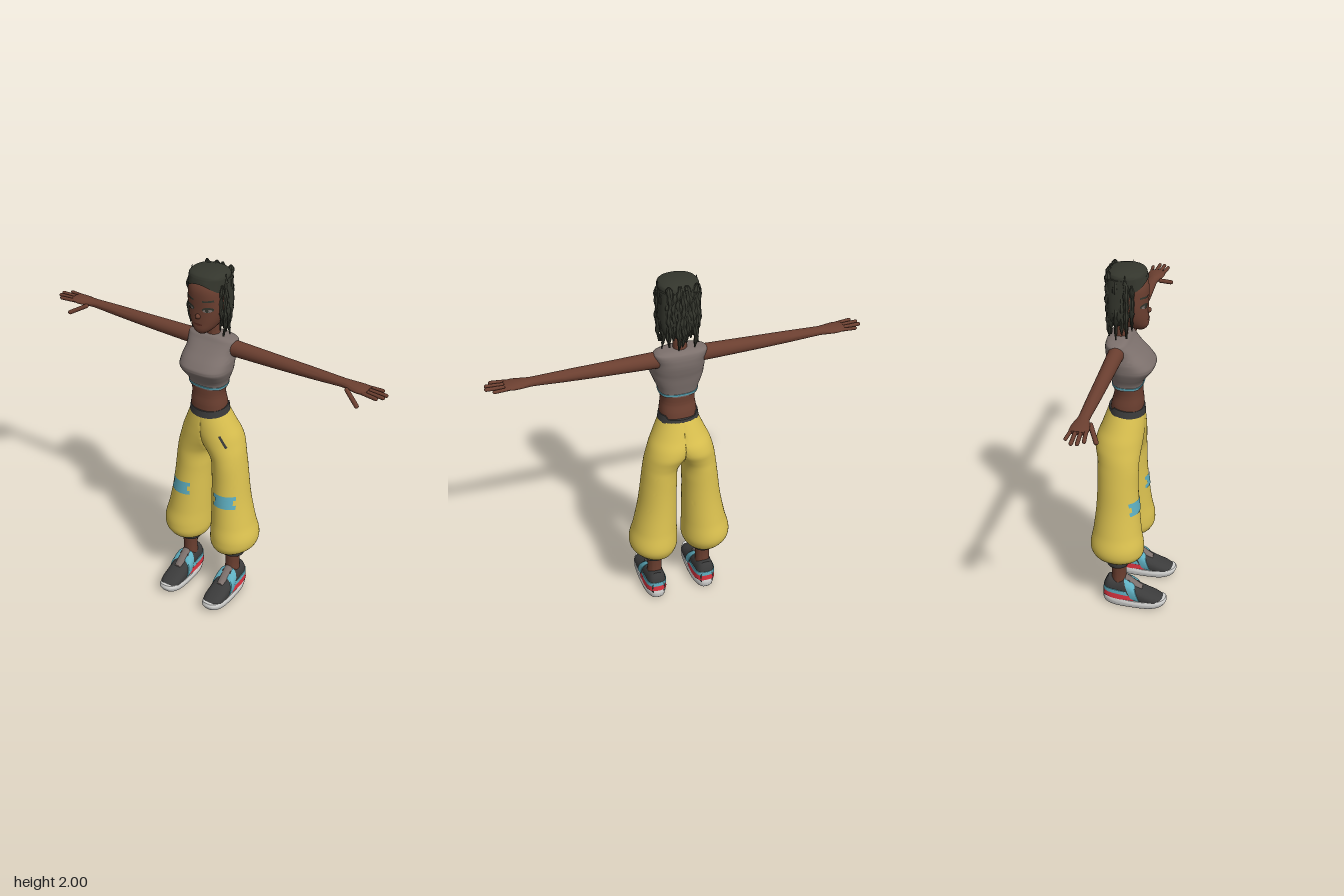
import * as THREE from 'three';
import { toCreasedNormals } from 'three/addons/utils/BufferGeometryUtils.js';

const mat = (name, color, side = THREE.FrontSide) =>
  Object.assign(new THREE.MeshStandardMaterial({ color, side }), { name });

// Smooth interpolation of section bounds [t, x0, x1, z0, z1] at height t
function boundsAt(keys, t) {
  let i = 0;
  while (i < keys.length - 2 && t > keys[i + 1][0]) i++;
  const a = keys[i], b = keys[i + 1], h = b[0] - a[0], u = (t - a[0]) / h;
  const slope = (k, c) => {
    const d = (m) => (keys[m + 1][c] - keys[m][c]) / (keys[m + 1][0] - keys[m][0]);
    if (k === 0) return d(0);
    if (k === keys.length - 1) return d(k - 1);
    return d(k - 1) * d(k) <= 0 ? 0 : (d(k - 1) + d(k)) / 2;
  };
  return [1, 2, 3, 4].map((c) => a[c] * (1 + 2 * u) * (1 - u) ** 2 + b[c] * u * u * (3 - 2 * u)
    + h * (slope(i, c) * u * (1 - u) ** 2 + slope(i + 1, c) * u * u * (u - 1)));
}

// Closed superellipse loft along y; `rule` may adjust each point
function loft(keys, { n = 2, seg = 32, rows = 24, rule, axis = 'y', crease = 0.9 } = {}) {
  const pos = [], idx = [], t0 = keys[0][0], t1 = keys[keys.length - 1][0];
  const pw = (v) => Math.sign(v) * Math.abs(v) ** (2 / n);
  const put = (x, y, z) => {
    const p = new THREE.Vector3(x, y, z);
    if (rule) rule(p);
    pos.push(p.x, p.y, p.z);
  };
  for (let i = 0; i <= rows; i++) {
    const t = t0 + (t1 - t0) * i / rows, [x0, x1, z0, z1] = boundsAt(keys, t);
    for (let j = 0; j < seg; j++) {
      const q = j / seg * Math.PI * 2;
      put((x0 + x1) / 2 + (x1 - x0) / 2 * pw(Math.cos(q)), t, (z0 + z1) / 2 + (z1 - z0) / 2 * pw(Math.sin(q)));
    }
  }
  for (const k of [keys[0], keys[keys.length - 1]]) put((k[1] + k[2]) / 2, k[0], (k[3] + k[4]) / 2);
  const lo = (rows + 1) * seg;
  for (let j = 0; j < seg; j++) {
    const k = (j + 1) % seg;
    for (let i = 0; i < rows; i++) {
      const a = i * seg + j, b = i * seg + k;
      idx.push(a, a + seg, b, b, a + seg, b + seg);
    }
    idx.push(lo, j, k, lo + 1, rows * seg + k, rows * seg + j);
  }
  const g = new THREE.BufferGeometry();
  g.setAttribute('position', new THREE.Float32BufferAttribute(pos, 3));
  g.setIndex(idx);
  if (axis === 'x') g.rotateZ(-Math.PI / 2);
  if (axis === 'z') g.rotateX(Math.PI / 2);
  return toCreasedNormals(g, crease);
}
// Lofts running along x ([x, y0, y1, z0, z1]) and along z ([z, x0, x1, y0, y1])
const loftX = (keys, o) => loft(keys.map(([x, y0, y1, a, b]) => [x, -y1, -y0, a, b]), { ...o, axis: 'x' });
const loftZ = (keys, o) => loft(keys.map(([z, a, b, y0, y1]) => [z, a, b, -y1, -y0]), { ...o, axis: 'z' });

// Lays a flat geometry onto the front of a loft
function decal(g, keys, n, off = 0.003) {
  const p = g.attributes.position;
  for (let i = 0; i < p.count; i++) {
    const x = p.getX(i), [x0, x1, z0, z1] = boundsAt(keys, p.getY(i));
    const u = Math.min(0.98, Math.abs(x - (x0 + x1) / 2) / ((x1 - x0) / 2));
    p.setZ(i, (z0 + z1) / 2 + (z1 - z0) / 2 * (1 - u ** n) ** (1 / n) + off);
  }
  g.computeVertexNormals();
  return g;
}
const oval = (x, y, w, h, tilt = 0) => new THREE.CircleGeometry(1, 20).scale(w, h, 1).rotateZ(tilt).translate(x, y, 0);
const strip = (x, y, w, h, tilt = 0) => new THREE.PlaneGeometry(w, h, 8, 4).rotateZ(tilt).translate(x, y, 0);

function mirrored(src) {
  const g = src.clone().scale(-1, 1, 1), m = g.index ? g.index.count : g.attributes.position.count;
  const ix = Array.from({ length: m }, (_, i) => (g.index ? g.index.getX(i) : i));
  for (let i = 0; i < m; i += 3) [ix[i + 1], ix[i + 2]] = [ix[i + 2], ix[i + 1]];
  g.setIndex(ix);
  return g;
}
// Rounded finger between two points
function finger(a, b, r) {
  const A = new THREE.Vector3(...a), d = new THREE.Vector3(...b).sub(A), l = d.length();
  return new THREE.CapsuleGeometry(r, l - r, 4, 10)
    .applyQuaternion(new THREE.Quaternion().setFromUnitVectors(new THREE.Vector3(0, 1, 0), d.normalize()))
    .translate(...A.addScaledVector(d, l / 2).toArray());
}

export function createModel() {
  const model = new THREE.Group();
  const skin = mat('skin', 0x6b3f30), hair = mat('hair', 0x34362d), grey = mat('top grey', 0x7c706c);
  const yellow = mat('trouser yellow', 0xdcc250), dark = mat('charcoal', 0x3b3b3b), cyan = mat('cyan', 0x5fb0c2);
  const red = mat('red', 0xd8323e), white = mat('sole white', 0xd6d6d4), tread = mat('tread grey', 0x77777a);
  const lip = mat('lip', 0x55291f);
  const add = (name, g, m) => {
    const mesh = new THREE.Mesh(g, m);
    mesh.name = name;
    model.add(mesh);
  };
  const pair = (name, g, m) => {
    add(name + 'Left', g, m);
    add(name + 'Right', mirrored(g), m);
  };

  // Torso
  add('midriff', loft([[1.18, -0.1, 0.1, -0.13, 0.045], [1.24, -0.097, 0.097, -0.122, 0.045],
    [1.3, -0.09, 0.09, -0.108, 0.04], [1.37, -0.098, 0.098, -0.11, 0.04]], { n: 2.3 }), skin);
  add('cropTop', loft([[1.34, -0.1, 0.1, -0.112, 0.042], [1.38, -0.108, 0.108, -0.118, 0.052],
    [1.42, -0.125, 0.125, -0.125, 0.08], [1.465, -0.138, 0.138, -0.132, 0.107], [1.5, -0.138, 0.138, -0.14, 0.085],
    [1.55, -0.132, 0.132, -0.147, 0.035], [1.6, -0.14, 0.14, -0.143, -0.012], [1.615, -0.125, 0.125, -0.135, -0.022],
    [1.625, -0.06, 0.06, -0.115, -0.032]], { n: 2.6, seg: 40, rows: 40 }), grey);
  add('topHem', loft([[1.349, -0.104, 0.104, -0.116, 0.047], [1.36, -0.106, 0.106, -0.118, 0.05]],
    { n: 2.6, seg: 40, rows: 1 }), cyan);
  add('neck', loft([[1.58, -0.05, 0.05, -0.12, -0.025], [1.63, -0.036, 0.036, -0.11, -0.038],
    [1.74, -0.036, 0.036, -0.1, -0.02]]), skin);

  // Trousers: each half is cut flat at the middle above the crotch
  const leg = [[0.295, 0.075, 0.21, -0.13, 0], [0.31, 0.05, 0.228, -0.165, 0.04], [0.35, 0.025, 0.272, -0.2, 0.075],
    [0.4, 0.018, 0.285, -0.215, 0.08], [0.5, 0.02, 0.262, -0.2, 0.065], [0.65, 0.02, 0.232, -0.185, 0.05],
    [0.8, 0.018, 0.213, -0.18, 0.042], [0.9, 0.01, 0.2, -0.18, 0.042], [0.95, -0.02, 0.192, -0.188, 0.045],
    [1, -0.06, 0.18, -0.2, 0.05], [1.05, -0.09, 0.165, -0.194, 0.054], [1.1, -0.1, 0.143, -0.175, 0.055],
    [1.2, -0.1, 0.1, -0.14, 0.05]];
  pair('trouserLeg', loft(leg, { seg: 56, rows: 64, rule: (p) => { p.x = Math.max(0, p.x); } }), yellow);
  add('waistband', loft([[1.183, -0.11, 0.11, -0.145, 0.056], [1.222, -0.104, 0.104, -0.138, 0.052]],
    { rows: 2, rule: (p) => { p.y -= 0.12 * (p.z + 0.04) + (p.z < -0.1 ? 0.02 : 0); } }), dark);
  for (const [x, y, w, h] of [[0.14, 0.694, 0.125, 0.024], [0.143, 0.667, 0.1, 0.032], [0.142, 0.64, 0.128, 0.024]])
    pair('kneePatch', decal(strip(x, y, w, h), leg, 2, 0.004), cyan);
  add('pocketSlit', decal(strip(0.125, 1.04, 0.08, 0.01, -1.1), leg, 2, 0.004), dark);
  pair('cuff', loft([[0.265, 0.084, 0.206, -0.124, -0.006], [0.28, 0.078, 0.212, -0.13, 0],
    [0.305, 0.078, 0.212, -0.13, 0]], { rows: 4 }), dark);
  pair('ankle', loft([[0.1, 0.1, 0.188, -0.105, -0.015], [0.2, 0.103, 0.183, -0.1, -0.02],
    [0.28, 0.1, 0.186, -0.105, -0.015]]), skin);

  // Arms and hands
  pair('arm', loftX([[0.1, 1.522, 1.61, -0.115, -0.03], [0.4, 1.53, 1.602, -0.108, -0.036],
    [0.6, 1.538, 1.597, -0.104, -0.04], [0.76, 1.547, 1.591, -0.1, -0.044], [0.81, 1.549, 1.588, -0.11, -0.03],
    [0.86, 1.552, 1.585, -0.115, -0.02], [0.895, 1.56, 1.58, -0.112, -0.024]], { seg: 24, rows: 40 }), skin);
  for (const [z0, z1, x, r] of [[-0.102, -0.108, 0.955, 0.009], [-0.08, -0.074, 0.989, 0.01],
    [-0.056, -0.046, 0.985, 0.01], [-0.033, -0.02, 0.96, 0.01]])
    pair('finger', finger([0.87, 1.569, z0], [x, 1.569, z1], r), skin);
  pair('thumb', finger([0.79, 1.562, -0.035], [0.878, 1.516, 0.016], 0.012), skin);

  // Shoes
  const toeLift = (p) => { p.y += p.z > 0.1 ? (p.z - 0.1) ** 2 * 1.4 : p.z < 0 ? -p.z * p.y * 2.5 : 0; };
  pair('tread', loft([[0, 0.088, 0.202, -0.138, 0.19], [0.008, 0.083, 0.207, -0.145, 0.2]],
    { n: 2.7, rows: 1, rule: toeLift }), tread);
  pair('sole', loft([[0.006, 0.083, 0.207, -0.145, 0.2], [0.03, 0.077, 0.213, -0.152, 0.213],
    [0.048, 0.081, 0.209, -0.148, 0.208]], { n: 2.7, rows: 6, rule: toeLift }), white);
  const upper = [[-0.143, 0.11, 0.18, 0.02, 0.125], [-0.12, 0.096, 0.194, 0.01, 0.172], [-0.06, 0.09, 0.2, 0.01, 0.168],
    [-0.01, 0.088, 0.202, 0.01, 0.168], [0.04, 0.086, 0.204, 0.01, 0.13], [0.1, 0.085, 0.205, 0.01, 0.1],
    [0.16, 0.092, 0.198, 0.015, 0.077], [0.2, 0.115, 0.175, 0.025, 0.058]];
  pair('shoeUpper', loftZ(upper, { n: 2.5, rows: 30 }), dark);
  pair('redStripe', loft([[0.045, 0.082, 0.208, -0.15, 0.085], [0.078, 0.085, 0.205, -0.147, 0.06]],
    { n: 3, rows: 2, rule: (p) => { p.y -= p.z * 0.1; } }), red);
  pair('cyanStripe', loft([[0.078, 0.085, 0.205, -0.148, 0.055], [0.102, 0.086, 0.204, -0.146, 0.035]],
    { n: 3, rows: 2, rule: (p) => { p.y -= p.z * 0.1; } }), cyan);
  const strap = [-0.015, 0, 0.015, 0.03].map((z) => {
    const [a, b, c, d] = boundsAt(upper, z);
    return [z, a - 0.004, b + 0.004, c, d + 0.004];
  });
  // Sheared in its own frame, where z is minus the height
  pair('cyanStrap', loftZ(strap, { n: 2.5, rows: 4, rule: (p) => { p.y += (0.14 + p.z) * 0.4; } }), cyan);
  pair('tongue', loftZ([[-0.02, 0.118, 0.172, 0.1, 0.184], [0.03, 0.12, 0.17, 0.08, 0.15],
    [0.075, 0.124, 0.166, 0.06, 0.118]], { n: 3, rows: 8 }), grey);

  // Head and face
  const head = [[1.668, -0.022, 0.022, 0, 0.05], [1.685, -0.045, 0.045, -0.05, 0.066], [1.73, -0.078, 0.078, -0.1, 0.069],
    [1.8, -0.098, 0.098, -0.122, 0.067], [1.87, -0.1, 0.1, -0.13, 0.069], [1.94, -0.09, 0.09, -0.12, 0.05],
    [1.98, -0.05, 0.05, -0.08, 0]];
  add('head', loft(head, { n: 2.3, seg: 40, rows: 32 }), skin);
  add('nose', new THREE.SphereGeometry(1, 14, 10).scale(0.014, 0.014, 0.014).translate(0, 1.772, 0.07), skin);
  add('lips', decal(oval(0, 1.728, 0.026, 0.006), head, 2.3), lip);
  pair('lashes', decal(oval(0.05, 1.815, 0.028, 0.014, 0.12), head, 2.3, 0.002), hair);
  pair('eye', decal(oval(0.05, 1.811, 0.022, 0.009, 0.12), head, 2.3, 0.004), grey);
  pair('iris', decal(oval(0.049, 1.812, 0.009, 0.009), head, 2.3, 0.006), hair);
  pair('brow', decal(strip(0.052, 1.862, 0.052, 0.01, 0.12), head, 2.3), hair);

  // Hair: crown, back shell, side locks and gathered braids
  add('hairCrown', loft([[1.935, -0.103, 0.103, -0.138, 0.066], [1.96, -0.103, 0.103, -0.138, 0.06],
    [1.985, -0.092, 0.092, -0.128, 0.045], [1.998, -0.055, 0.055, -0.09, 0.005]],
  { n: 2.3, seg: 40, rows: 12, rule: (p) => { if (p.y < 1.96) p.y -= 5 * p.x * p.x - 0.01; } }), hair);
  add('hairBack', loft([[1.7, -0.075, 0.075, -0.115, -0.05], [1.75, -0.1, 0.1, -0.132, -0.02],
    [1.85, -0.106, 0.106, -0.14, -0.002], [1.96, -0.104, 0.104, -0.138, 0.02]], { n: 2.8 }), hair);
  // A lock hangs from y1 to y0, swelling in knots and tapering to its tip
  const lock = (x, z, y0, y1, r, phase = 0) => loft([[y0, 0.004], [y0 + 0.05, 0.6 * r], [(y0 + y1) / 2, r],
    [y1 - 0.03, r], [y1, 0.3 * r]].map(([y, s]) => {
    return [y, x - s, x + s, z - s, z + s];
  }), { seg: 8, rows: 20, crease: 0.6, rule: (p) => {
    const k = 1 + 0.2 * Math.sin(p.y * 110 + phase);
    p.x = x + (p.x - x) * k + 0.005 * Math.sin(p.y * 40 + phase);
    p.z = z + (p.z - z) * k;
  } });
  [[0.094, 0.003, 1.69, 1.94, 0.013], [0.097, -0.025, 1.645, 1.96, 0.015], [0.086, -0.05, 1.66, 1.96, 0.018],
    [0.092, -0.08, 1.635, 1.96, 0.015], [0.07, -0.11, 1.65, 1.95, 0.018]]
    .forEach(([x, z, y0, y1, r], i) => pair('sideLock', lock(x, z, y0, y1, r, i * 2), hair));
  for (let i = 0; i < 7; i++) {
    const x = (i - 3) * 0.022;
    add('backBraid', lock(x, -0.132 + Math.abs(i - 3) * 0.004, 1.635 + (i * 3 % 4) * 0.02, 1.995 - (i % 2) * 0.02, 0.02, i * 1.7), hair);
  }
  pair('hairTip', new THREE.ConeGeometry(0.012, 0.05, 6).translate(0.1, 1.968, -0.03), hair);
  return model;
}
